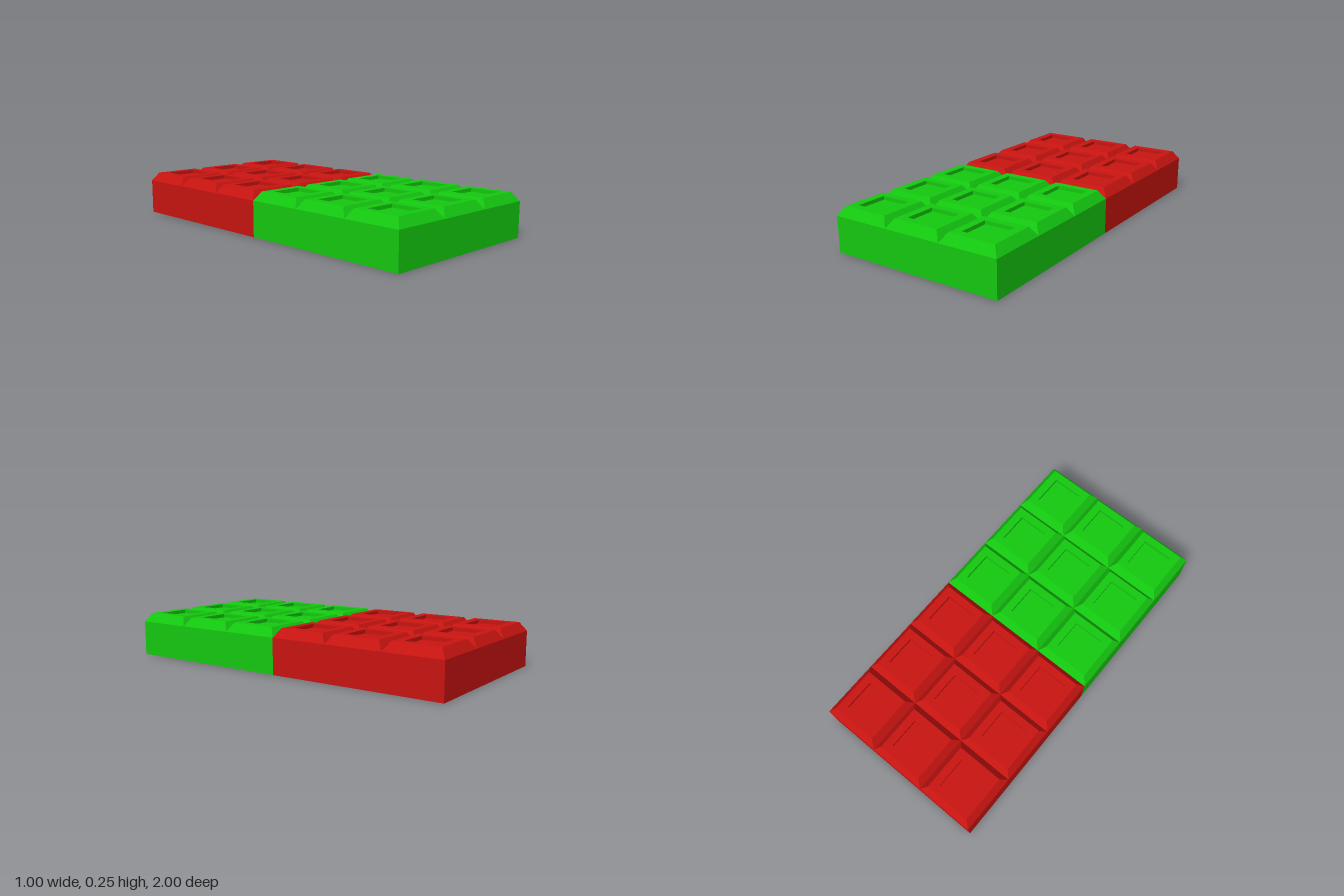
import * as THREE from 'three';

const CELL = 1 / 3;
const BASE_HEIGHT = 0.2;

// One bevelled square with a sunken panel: a four-sided lathe of its profile
function makePieceGeometry() {
  const profile = [
    [CELL / 2, BASE_HEIGHT],
    [0.133, 0.25],
    [0.088, 0.25],
    [0.088, 0.23],
    [0, 0.23],
  ].map(([half, y]) => new THREE.Vector2(half * Math.SQRT2, y));
  const geometry = new THREE.LatheGeometry(profile, 4, Math.PI / 4).toNonIndexed();
  geometry.computeVertexNormals();
  return geometry;
}

// Half of the bar: a solid slab carrying a 3 x 3 grid of pieces
function makeHalf(name, color, z, pieceGeometry) {
  const half = new THREE.Group();
  half.name = name;
  half.position.z = z;
  const material = new THREE.MeshStandardMaterial({ color, flatShading: true });

  const slab = new THREE.Mesh(new THREE.BoxGeometry(1, BASE_HEIGHT, 1), material);
  slab.name = 'slab';
  slab.position.y = BASE_HEIGHT / 2;
  half.add(slab);

  for (let row = -1; row <= 1; row++) {
    for (let column = -1; column <= 1; column++) {
      const piece = new THREE.Mesh(pieceGeometry, material);
      piece.name = 'piece';
      piece.position.set(column * CELL, 0, row * CELL);
      half.add(piece);
    }
  }
  return half;
}

export function createModel() {
  const model = new THREE.Group();
  model.name = 'chocolateBar';
  const pieceGeometry = makePieceGeometry();
  model.add(
    makeHalf('frontHalf', 0x14c810, 0.5, pieceGeometry),
    makeHalf('backHalf', 0xc81410, -0.5, pieceGeometry),
  );
  return model;
}
